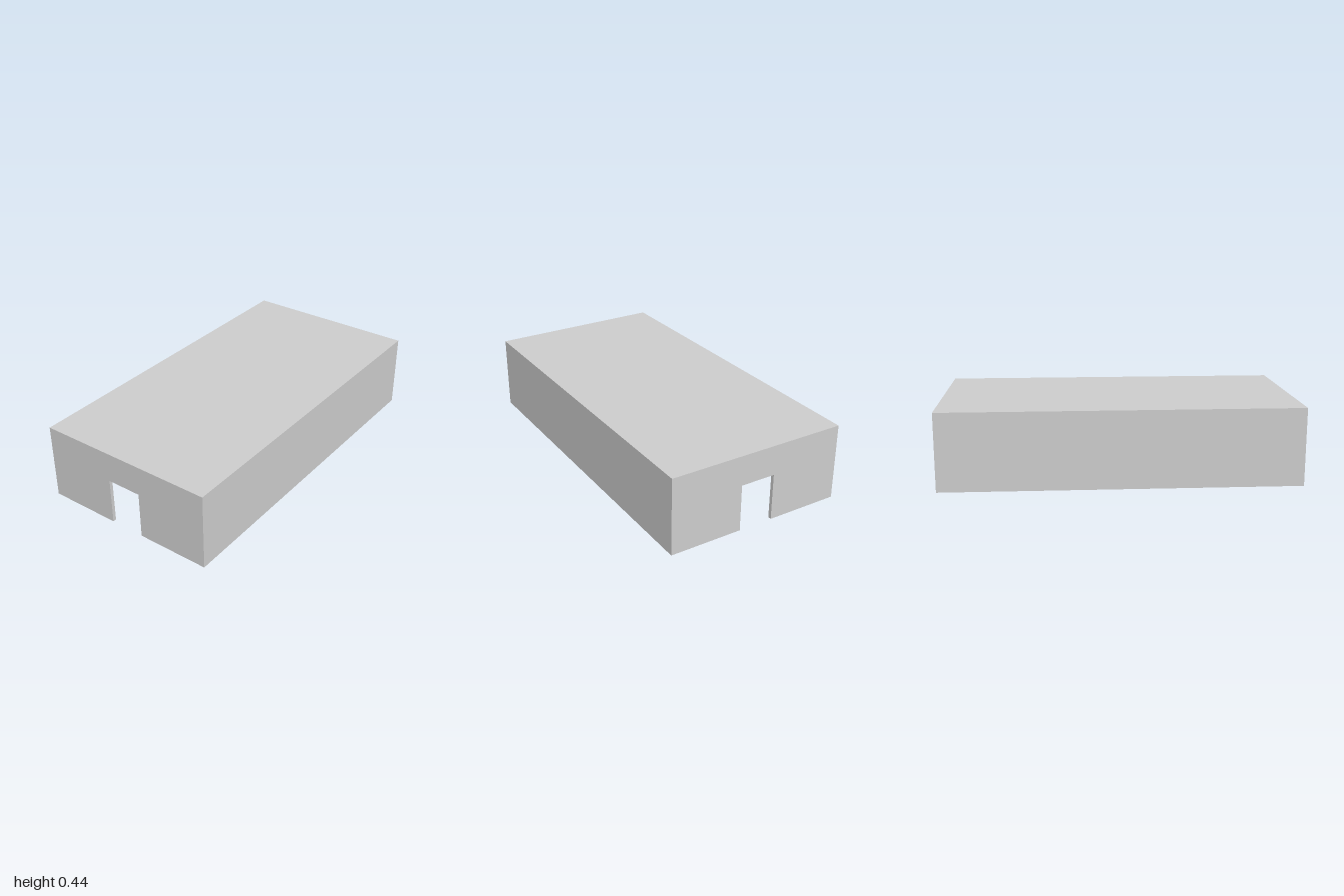
import * as THREE from 'three';

const LENGTH = 2, DEPTH = 1.03, HEIGHT = 0.437;
const WALL = 0.02, ROOF = 0.035;
const DOOR_HALF = 0.1, DOOR_HEIGHT = 0.267;

export function createModel() {
  const group = new THREE.Group();
  group.name = 'openBottomCover';
  const material = new THREE.MeshStandardMaterial({ color: 0xcccccc });
  const wallTop = HEIGHT - ROOF;

  const add = (name, geometry, x, y, z) => {
    const mesh = new THREE.Mesh(geometry, material);
    mesh.name = name;
    mesh.position.set(x, y, z);
    group.add(mesh);
    return mesh;
  };

  // Flat roof slab
  add('roof', new THREE.BoxGeometry(LENGTH, ROOF, DEPTH), 0, HEIGHT - ROOF / 2, 0);

  // Long walls, fitted between the end walls
  for (const [name, side] of [['frontWall', 1], ['backWall', -1]]) {
    add(name, new THREE.BoxGeometry(LENGTH - 2 * WALL, wallTop, WALL),
      0, wallTop / 2, side * (DEPTH - WALL) / 2);
  }

  // End walls, each with a doorway open to the floor
  const d = DEPTH / 2;
  const outline = new THREE.Shape([
    [-d, 0], [-DOOR_HALF, 0], [-DOOR_HALF, DOOR_HEIGHT], [DOOR_HALF, DOOR_HEIGHT],
    [DOOR_HALF, 0], [d, 0], [d, wallTop], [-d, wallTop],
  ].map(([x, y]) => new THREE.Vector2(x, y)));
  const endGeometry = new THREE.ExtrudeGeometry(outline, { depth: WALL, bevelEnabled: false })
    .translate(0, 0, -WALL / 2).rotateY(Math.PI / 2);
  for (const [name, side] of [['leftEndWall', 1], ['rightEndWall', -1]]) {
    add(name, endGeometry, side * (LENGTH - WALL) / 2, 0, 0);
  }

  return group;
}
